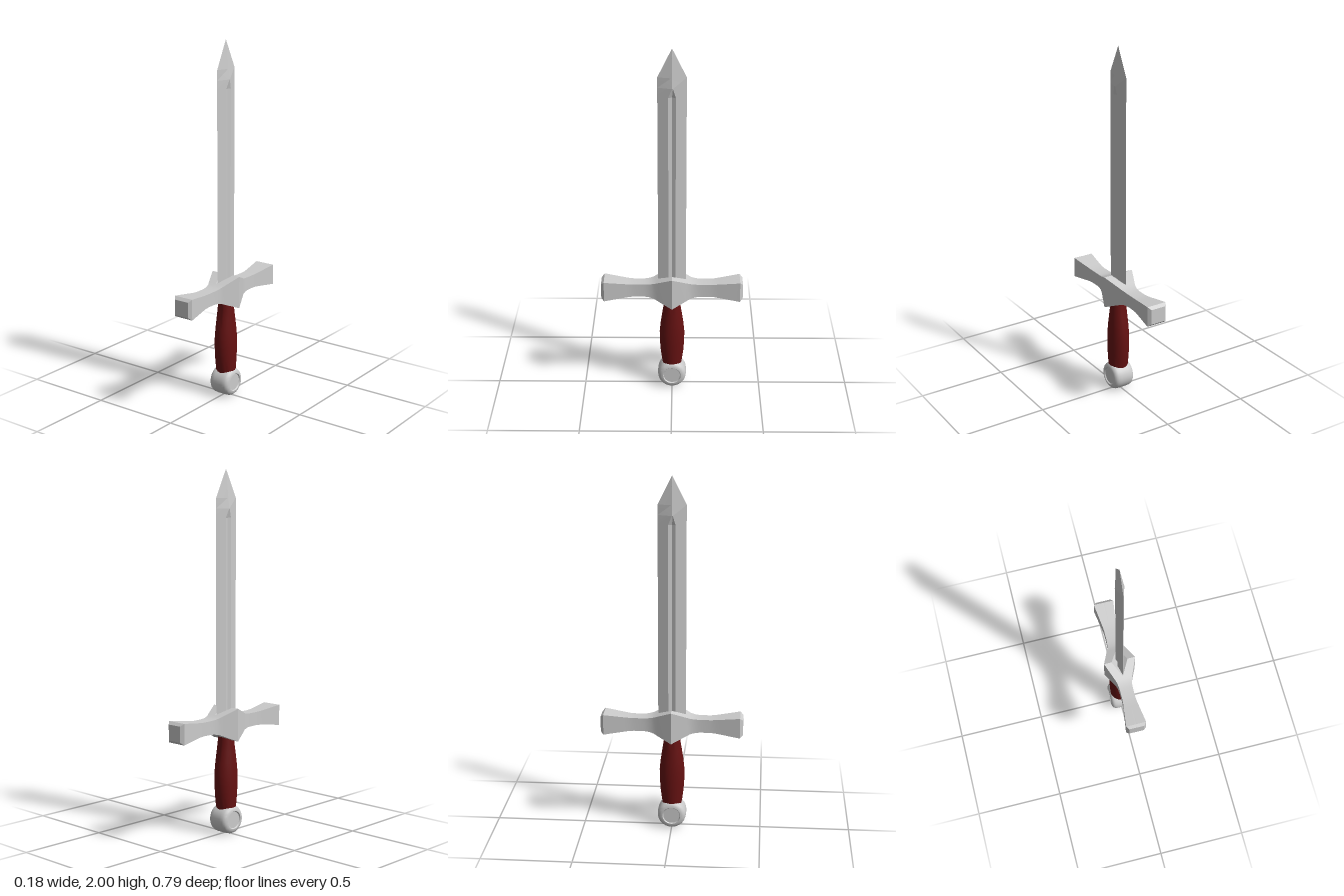
import * as THREE from 'three';
import { toCreasedNormals } from 'three/addons/utils/BufferGeometryUtils.js';

// Skin a list of equal-length rings of [x, y, z] points and cap both ends.
function loft(rings, crease) {
  const n = rings[0].length, pos = rings.flat(2), index = [];
  for (let r = 0; r < rings.length - 1; r++) {
    for (let i = 0; i < n; i++) {
      const a = r * n + i, b = r * n + (i + 1) % n;
      index.push(a, b, b + n, a, b + n, a + n);
    }
  }
  [0, rings.length - 1].forEach((r) => {
    const centre = pos.length / 3;
    for (let k = 0; k < 3; k++) pos.push(rings[r].reduce((s, p) => s + p[k], 0) / n);
    for (let i = 0; i < n; i++) {
      const a = r * n + i, b = r * n + (i + 1) % n;
      index.push(...(r === 0 ? [centre, b, a] : [centre, a, b]));
    }
  });
  // Turn the faces outward if the rings run the other way round
  const v = (i) => new THREE.Vector3().fromArray(pos, index[i] * 3);
  let volume = 0;
  for (let i = 0; i < index.length; i += 3) volume += v(i).dot(v(i + 1).cross(v(i + 2)));
  if (volume < 0) index.reverse();
  const geometry = new THREE.BufferGeometry();
  geometry.setAttribute('position', new THREE.Float32BufferAttribute(pos, 3));
  geometry.setIndex(index);
  return toCreasedNormals(geometry, crease);
}

// Diamond blade with a V-shaped fuller on each side, running up to a point
function bladeGeometry() {
  // [y, edge half width, ridge half thickness, fuller half width, half thickness at the centre]
  const stations = [
    [0.62, 0.077, 0.024, 0.02, 0.01],
    [1.74, 0.077, 0.024, 0.02, 0.01],
    [1.79, 0.077, 0.024, 0.005, 0.024],
    [1.846, 0.077, 0.0175, 0.004, 0.0175],
    [2.0, 0.0004, 0.0002, 0.0001, 0.0002],
  ];
  return loft(stations.map(([y, w, t, f, c]) => {
    const s = t * (1 - f / w);
    return [[0, y, w], [s, y, f], [c, y, 0], [s, y, -f],
      [0, y, -w], [-s, y, -f], [-c, y, 0], [-s, y, f]];
  }), 0.08);
}

// Square-section crossguard, flared at the ends and peaked in the middle
function guardGeometry() {
  const half = [
    [0, 0.091], [0.08, 0.056], [0.1, 0.047], [0.115, 0.043], [0.13, 0.04], [0.15, 0.038],
    [0.175, 0.0375], [0.21, 0.0375], [0.235, 0.039], [0.26, 0.042], [0.378, 0.058], [0.394, 0.043],
  ];
  const profile = [...half.slice(1).reverse().map(([z, h]) => [-z, h]), ...half];
  const midY = 0.618;
  return loft(profile.map(([z, h]) => {
    // The notch around the blade narrows away from the middle
    const notch = 0.047 * Math.max(0.1, 1 - Math.abs(z) / 0.08);
    const top = midY + h, floor = Math.min(top, 0.675);
    return [[h, midY - h, z], [h, top, z], [notch, top, z], [0, floor, z],
      [-notch, top, z], [-h, top, z], [-h, midY - h, z]];
  }), 0.3);
}

// Oval grip, swelling toward the lower half
function gripGeometry() {
  // [y, half width in x, half width in z]
  const stations = [
    [0.12, 0.054, 0.05], [0.16, 0.056, 0.057], [0.22, 0.058, 0.065], [0.28, 0.059, 0.069],
    [0.34, 0.058, 0.07], [0.4, 0.054, 0.064], [0.46, 0.049, 0.055],
    [0.51, 0.045, 0.047], [0.54, 0.043, 0.045], [0.57, 0.04, 0.042],
  ];
  const sides = 32;
  return loft(stations.map(([y, rx, rz]) => Array.from({ length: sides }, (_, i) => {
    const a = (i / sides) * Math.PI * 2;
    return [rx * Math.cos(a), y, rz * Math.sin(a)];
  })), 0.7);
}

// Round pommel lying on the x axis, with a shallow dish in each face
function pommelGeometry() {
  const half = [[0, 0.057], [0.046, 0.057], [0.05, 0.063], [0.058, 0.062],
    [0.067, 0.058], [0.074, 0.051], [0.078, 0.042], [0.08, 0.025]];
  const points = [...half.map(([r, x]) => [r, -x]), ...half.slice().reverse()]
    .map(([r, x]) => new THREE.Vector2(r, x));
  const geometry = new THREE.LatheGeometry(points, 40).rotateZ(-Math.PI / 2).translate(0, 0.08, 0);
  geometry.deleteAttribute('normal');
  geometry.deleteAttribute('uv');
  return toCreasedNormals(geometry, 0.6);
}

export function createModel() {
  const group = new THREE.Group();
  group.name = 'sword';
  const steel = new THREE.MeshStandardMaterial({ color: 0xcccccc });
  const leather = new THREE.MeshStandardMaterial({ color: 0x661212 });
  const add = (name, geometry, material) => {
    const mesh = new THREE.Mesh(geometry, material);
    mesh.name = name;
    group.add(mesh);
  };
  add('blade', bladeGeometry(), steel);
  add('crossguard', guardGeometry(), steel);
  add('grip', gripGeometry(), leather);
  add('pommel', pommelGeometry(), steel);
  return group;
}
